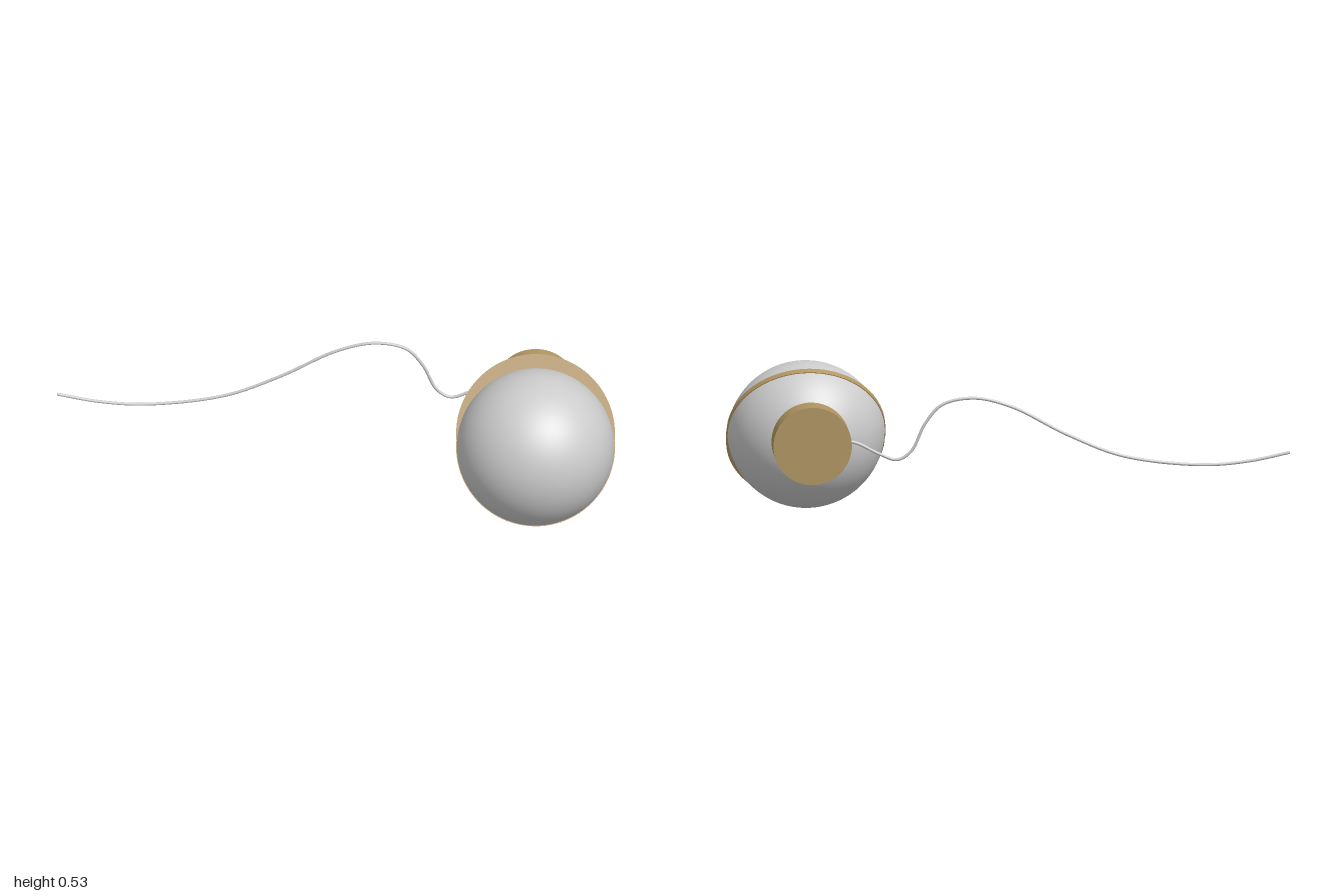
import * as THREE from 'three';

const grey = new THREE.MeshStandardMaterial({ color: 0xcccccc });
const brass = new THREE.MeshStandardMaterial({ color: 0xb09461 });

const X = 0.715;          // lamp axis
const GLOBE_R = 0.283;
const RIM_R = 0.285;
const RIM_T = 0.021;

function addMesh(parent, name, geometry, material) {
  const mesh = new THREE.Mesh(geometry, material);
  mesh.name = name;
  parent.add(mesh);
  return mesh;
}

// Half globe closed by a brass disc; its flat face lies on local y = 0
function makeHalf(name) {
  const half = new THREE.Group();
  half.name = name;
  addMesh(half, name + 'Dome',
    new THREE.SphereGeometry(GLOBE_R, 96, 40, 0, Math.PI * 2, 0, Math.PI / 2), grey);
  addMesh(half, name + 'Rim',
    new THREE.CylinderGeometry(RIM_R, RIM_R, RIM_T, 96), brass).position.y = RIM_T / 2 + 0.0007;
  return half;
}

export function createModel() {
  const model = new THREE.Group();
  model.name = 'splitGlobeWallLamp';

  // Globe cut on a slant, the two halves slid apart along the cut
  const globe = new THREE.Group();
  globe.name = 'globe';
  globe.position.set(X, 0.2685, 0.038);
  globe.rotation.x = Math.PI / 3;
  model.add(globe);

  const front = makeHalf('frontHalf');
  front.position.z = 0.0238;
  globe.add(front);

  const back = makeHalf('backHalf');
  back.position.z = -0.0238;
  back.rotation.x = Math.PI;
  globe.add(back);

  // Wall mount
  const mount = addMesh(model, 'wallMount',
    new THREE.CylinderGeometry(0.141, 0.141, 0.103, 72), brass);
  mount.rotation.x = Math.PI / 2;
  mount.position.set(X, 0.292, -0.2805);

  // Power cable trailing along the wall
  const path = new THREE.CatmullRomCurve3([
    [0.62, 0.31, -0.315], [0.556, 0.3, -0.318], [0.475, 0.26, -0.322], [0.41, 0.239, -0.324],
    [0.36, 0.27, -0.325], [0.31, 0.37, -0.326], [0.25, 0.437, -0.326], [0.136, 0.46, -0.326],
    [0, 0.427, -0.326], [-0.2, 0.323, -0.326], [-0.4, 0.243, -0.326], [-0.68, 0.207, -0.326],
    [-0.85, 0.218, -0.326], [-1, 0.248, -0.326],
  ].map((p) => new THREE.Vector3(...p)));
  addMesh(model, 'cable', new THREE.TubeGeometry(path, 160, 0.0055, 10), grey);

  // Cable end cap
  const tip = addMesh(model, 'cableEnd', new THREE.CircleGeometry(0.0055, 10), grey);
  tip.position.copy(path.getPoint(1));
  tip.lookAt(tip.position.clone().add(path.getTangent(1)));

  return model;
}
